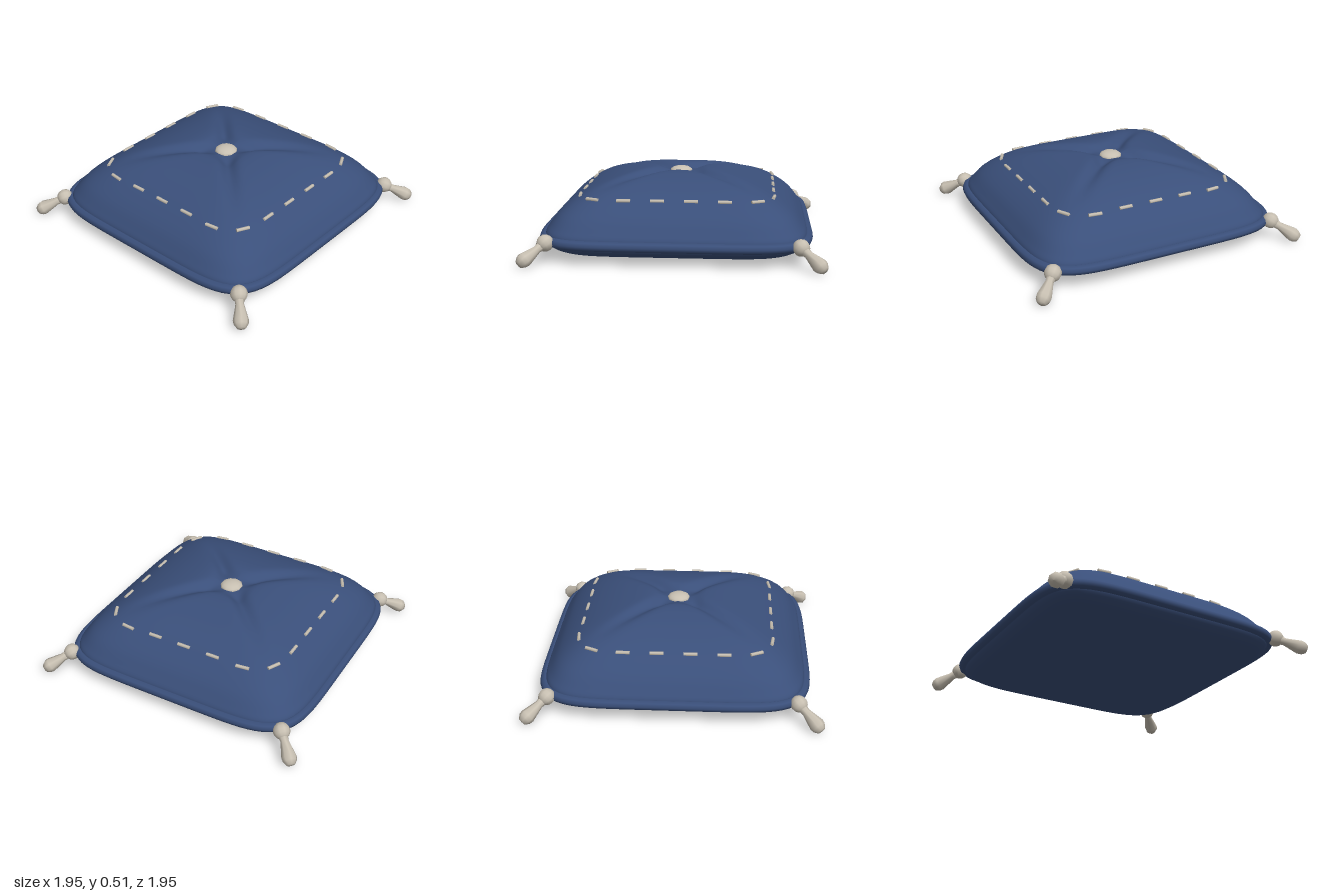
import * as THREE from 'three';
import { mergeVertices } from 'three/addons/utils/BufferGeometryUtils.js';

const fabric = new THREE.MeshStandardMaterial({ name: 'navy fabric', color: 0x3a4f7a });
const cream = new THREE.MeshStandardMaterial({ name: 'cream thread', color: 0xc8c0b2 });

const POWER = 6;
// Rounded-square outline: distance from the centre for a given direction
const squareRadius = (c, s) => (Math.abs(c) ** POWER + Math.abs(s) ** POWER) ** (-1 / POWER);

// Half profile of the cushion, from bottom centre to top centre
const lower = [[0, 0.025], [0.3, 0.025], [0.55, 0.027], [0.7, 0.04], [0.8, 0.065], [0.86, 0.11]];
const upper = [[0.87, 0.175], [0.84, 0.225], [0.78, 0.3], [0.67, 0.383], [0.54, 0.447],
  [0.37, 0.5], [0.19, 0.525], [0.1, 0.505], [0, 0.48]];

// Height of the top surface at a rounded-square distance r
function topHeight(r) {
  for (let i = 1; i < upper.length; i++) {
    const [r0, y0] = upper[i - 1], [r1, y1] = upper[i];
    if (r >= r1) return y0 + (y1 - y0) * (r - r0) / (r1 - r0);
  }
  return 0.48;
}

function cushionGeometry() {
  const curve = new THREE.CatmullRomCurve3(
    [...lower, ...upper].map(([r, y]) => new THREE.Vector3(r, y, 0)), false, 'centripetal');
  const points = curve.getPoints(56).map(p => new THREE.Vector2(Math.max(p.x, 0), p.y));
  const geo = new THREE.LatheGeometry(points, 128);
  const pos = geo.attributes.position;
  for (let i = 0; i < pos.count; i++) {
    let x = pos.getX(i), y = pos.getY(i), z = pos.getZ(i);
    const r = Math.hypot(x, z);
    if (r > 1e-5) {
      const k = squareRadius(x / r, z / r);
      x *= k; z *= k;
    }
    // Pull creases into the top along both diagonals
    if (y > 0.2) {
      const off = (Math.abs(x) - Math.abs(z)) / Math.SQRT2;
      const fade = THREE.MathUtils.smoothstep(r, 0.04, 0.16) * (1 - THREE.MathUtils.smoothstep(r, 0.16, 0.66));
      y -= 0.04 * fade * Math.exp(-((off / 0.05) ** 2));
    }
    pos.setXYZ(i, x, y, z);
  }
  geo.deleteAttribute('normal');
  geo.deleteAttribute('uv');
  const merged = mergeVertices(geo, 1e-4);
  merged.computeVertexNormals();
  return merged;
}

function pipingGeometry() {
  const pts = [];
  for (let i = 0; i < 96; i++) {
    const a = i / 96 * Math.PI * 2, c = Math.cos(a), s = Math.sin(a);
    const r = 0.877 * squareRadius(c, s);
    pts.push(new THREE.Vector3(c * r, 0.147, s * r));
  }
  return new THREE.TubeGeometry(new THREE.CatmullRomCurve3(pts, true), 128, 0.033, 8, true);
}

export function createModel() {
  const model = new THREE.Group();
  const add = (parent, name, geo, mat) => {
    const mesh = new THREE.Mesh(geo, mat);
    mesh.name = name;
    parent.add(mesh);
    return mesh;
  };

  add(model, 'cushionBody', cushionGeometry(), fabric);
  add(model, 'piping', pipingGeometry(), fabric);

  // Button in the central tuft
  const button = add(model, 'button', new THREE.SphereGeometry(0.08, 10, 8), cream);
  button.scale.y = 0.45;
  button.position.y = 0.49;

  // Running stitch around the top: position and heading in plan
  const stitches = [];
  for (const side of [-1, 1]) {
    for (const x of [-0.33, -0.11, 0.11, 0.33]) stitches.push([x, side * 0.648, 0]);
    for (const z of [-0.44, -0.22, 0, 0.22, 0.44]) {
      const lean = Math.abs(z) > 0.4 ? 0.12 * side * Math.sign(z) : 0;
      stitches.push([side * 0.647, z, Math.PI / 2 + lean]);
    }
    for (const end of [-1, 1]) stitches.push([end * 0.54, side * 0.612, -0.47 * side * end]);
  }
  const thread = new THREE.CylinderGeometry(0.012, 0.012, 0.09, 6).rotateZ(Math.PI / 2);
  const stitching = new THREE.Group();
  stitching.name = 'stitching';
  model.add(stitching);
  for (const [x, z, heading] of stitches) {
    const stitch = add(stitching, 'stitch', thread, cream);
    const norm = Math.hypot(x, z);
    const r = norm / squareRadius(x / norm, z / norm);
    stitch.position.set(x, topHeight(r) + 0.005, z);
    // Positive heading turns from +x towards +z
    stitch.rotation.y = -heading;
  }

  // Corner tassels: a knot and a flared skirt pointing out and down
  const skirt = new THREE.LatheGeometry(
    [[0, 0], [0.034, 0.02], [0.027, 0.07], [0.05, 0.175], [0.046, 0.2], [0.028, 0.226], [0, 0.23]]
      .map(([r, y]) => new THREE.Vector2(r, y)), 8);
  const knot = new THREE.SphereGeometry(0.056, 10, 8);
  for (const sx of [-1, 1]) for (const sz of [-1, 1]) {
    const tassel = new THREE.Group();
    tassel.name = 'tassel';
    tassel.position.set(sx * 0.815, 0.15, sz * 0.815);
    tassel.quaternion.setFromUnitVectors(
      new THREE.Vector3(0, 1, 0), new THREE.Vector3(sx * 0.15, -0.113, sz * 0.15).normalize());
    add(tassel, 'tasselKnot', knot, cream);
    add(tassel, 'tasselSkirt', skirt, cream);
    model.add(tassel);
  }
  return model;
}
